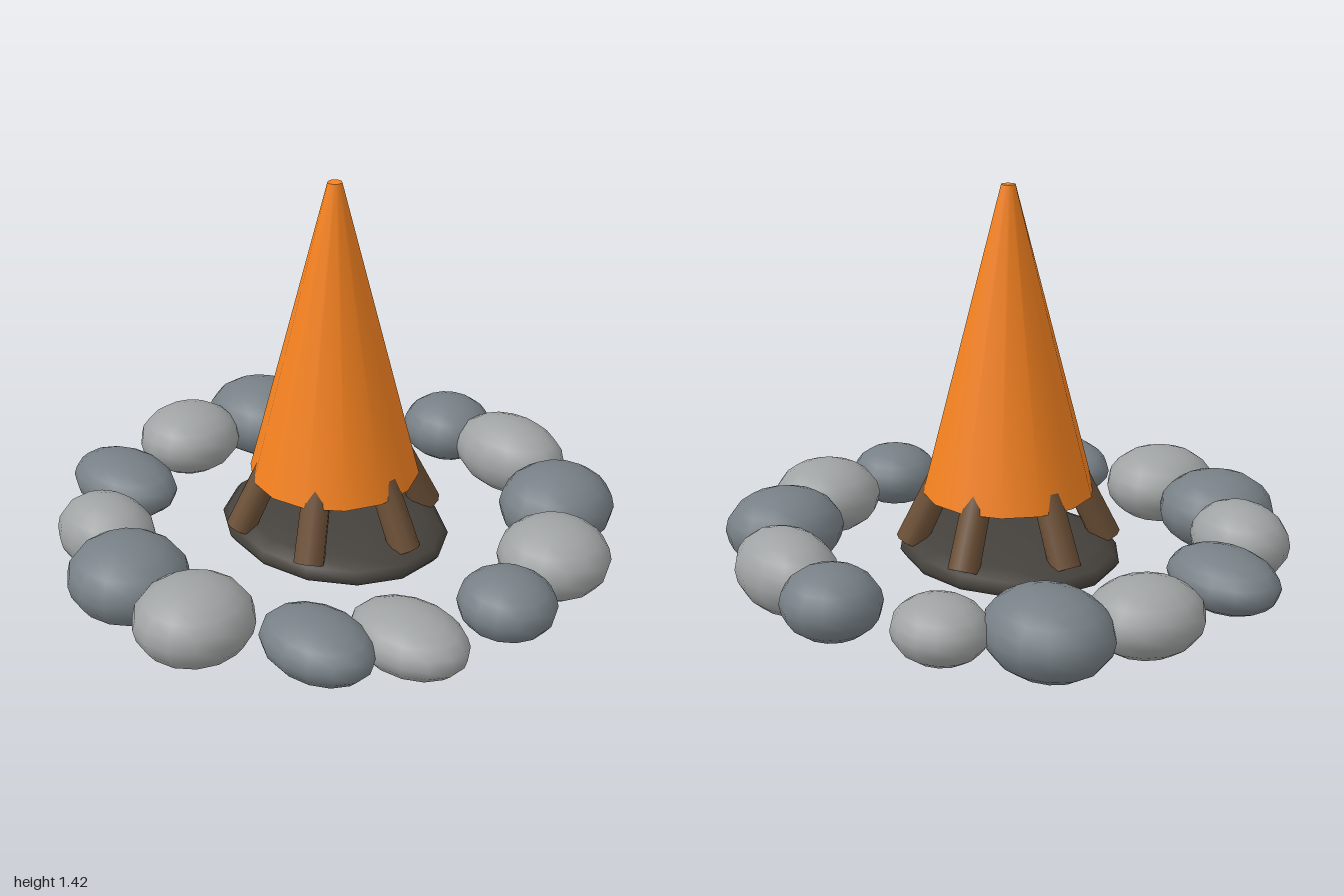
import * as THREE from 'three';

const SIDES = 14;
const CENTRE_Z = -0.03;
const mat = (color) => new THREE.MeshStandardMaterial({ color, roughness: 0.9 });

export function createModel() {
  const group = new THREE.Group();
  const flameMat = mat(0xf58220);
  const logMat = mat(0x6b4f36);
  const ashMat = mat(0x45413c);
  const darkStone = mat(0x778086);
  const lightStone = mat(0xa0a3a3);

  const add = (name, geometry, material, x, y, z) => {
    const mesh = new THREE.Mesh(geometry, material);
    mesh.name = name;
    mesh.position.set(x, y, z);
    group.add(mesh);
    return mesh;
  };

  // Unit ball, turned so a column of vertices faces the front
  const ball = new THREE.SphereGeometry(1, SIDES, 10).rotateY(Math.PI / 2);
  const flat = Math.cos(Math.PI / SIDES);

  // Flattened ash bed
  add('ashBed', ball, ashMat, 0, 0.12, CENTRE_Z).scale.set(0.433 / flat, 0.085, 0.373);

  // Flame: tall cone with a blunt tip
  add('flame', new THREE.CylinderGeometry(0.025, 0.305, 1.09, SIDES), flameMat, 0, 0.885, CENTRE_Z);

  // Six logs leaning in towards the flame
  const logs = 6;
  const up = new THREE.Vector3(0, 1, 0);
  for (let i = 0; i < logs; i++) {
    const a = (i / logs) * Math.PI * 2;
    const at = (r, y) => new THREE.Vector3(Math.cos(a) * r, y, CENTRE_Z + Math.sin(a) * r);
    const foot = at(0.35, 0.15);
    const top = at(0.22, 0.42);
    const dir = top.clone().sub(foot);
    const mid = foot.clone().add(top).multiplyScalar(0.5);
    const log = add('log', new THREE.CylinderGeometry(0.05, 0.055, dir.length(), 10), logMat, mid.x, mid.y, mid.z);
    log.quaternion.setFromUnitVectors(up, dir.normalize());
  }

  // Ring of stones: x, z, half width, half height, half depth
  const stones = [
    [-0.155, -0.83, 0.175, 0.125, 0.17],
    [0.165, -0.83, 0.23, 0.145, 0.163],
    [0.535, -0.65, 0.202, 0.145, 0.215],
    [0.752, -0.36, 0.195, 0.138, 0.2],
    [0.823, -0.02, 0.17, 0.115, 0.165],
    [0.725, 0.36, 0.22, 0.105, 0.163],
    [0.54, 0.595, 0.215, 0.105, 0.158],
    [0.15, 0.78, 0.2, 0.143, 0.21],
    [-0.2, 0.77, 0.215, 0.146, 0.21],
    [-0.48, 0.64, 0.195, 0.14, 0.16],
    [-0.72, 0.36, 0.225, 0.105, 0.162],
    [-0.815, -0.045, 0.185, 0.13, 0.2],
    [-0.742, -0.375, 0.233, 0.146, 0.203],
    [-0.532, -0.645, 0.17, 0.11, 0.157],
  ];
  stones.forEach(([x, z, w, h, d], i) => {
    const stone = add('stone', ball, i % 2 ? lightStone : darkStone, x, 0.155, z);
    stone.scale.set(w / flat, h, d);
  });

  return group;
}
